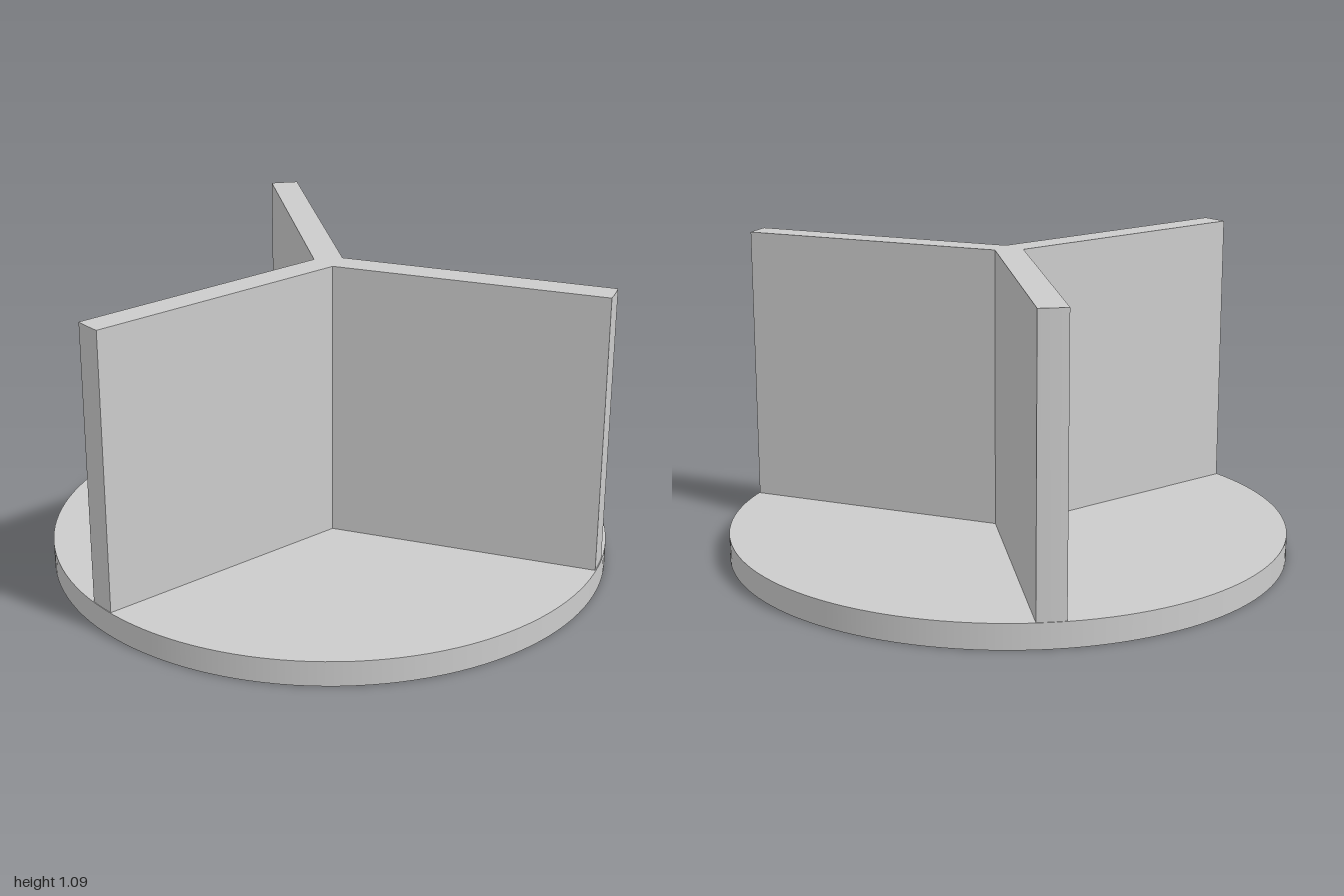
import * as THREE from 'three';

const RADIUS = 1, BASE_HEIGHT = 0.09;
const FIN_RADIUS = 0.997, FIN_HEIGHT = 1, HALF_THICKNESS = 0.05;

export function createModel() {
  const group = new THREE.Group();
  group.name = 'threeWayDividerStand';
  const material = new THREE.MeshStandardMaterial({ color: 0xcccccc });

  // Round base plate
  const base = new THREE.Mesh(new THREE.CylinderGeometry(RADIUS, RADIUS, BASE_HEIGHT, 128), material);
  base.name = 'basePlate';
  base.position.y = BASE_HEIGHT / 2;
  group.add(base);

  // Three fins meeting at the centre: each outer end follows the base rim,
  // then the outline returns to the inner corner shared with the next fin
  const outline = new THREE.Shape();
  const innerRadius = HALF_THICKNESS / Math.sin(Math.PI / 3);
  const halfAngle = Math.asin(HALF_THICKNESS / FIN_RADIUS);
  for (let i = 0; i < 3; i++) {
    const angle = Math.PI / 2 + i * Math.PI * 2 / 3;
    const corner = angle + Math.PI / 3;
    outline.absarc(0, 0, FIN_RADIUS, angle - halfAngle, angle + halfAngle, false);
    outline.lineTo(innerRadius * Math.cos(corner), innerRadius * Math.sin(corner));
  }
  outline.closePath();

  const geometry = new THREE.ExtrudeGeometry(outline, { depth: FIN_HEIGHT, bevelEnabled: false, curveSegments: 4 });
  geometry.rotateX(-Math.PI / 2);
  const fins = new THREE.Mesh(geometry, material);
  fins.name = 'dividerFins';
  fins.position.y = BASE_HEIGHT;
  group.add(fins);

  return group;
}
